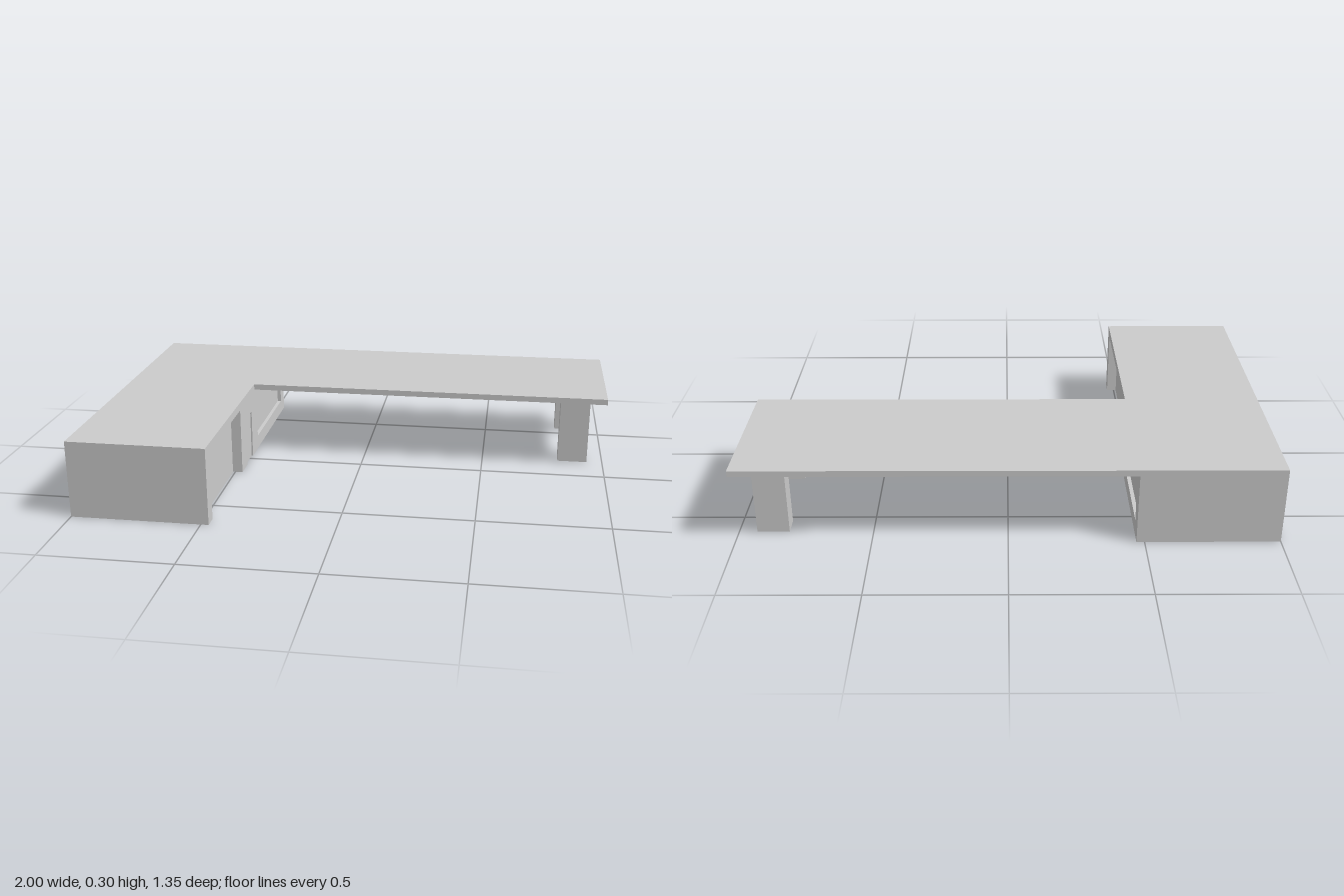
import * as THREE from 'three';

const material = new THREE.MeshStandardMaterial({ color: 0xcccccc, flatShading: true });

const HALF_Z = 0.675, HEIGHT = 0.3, FACE_X = -0.47;

// Openings in the inner face of the cabinet, as z and y ranges with a depth
const openings = [
  { z: [0.155, 0.62], y: [0, 0.268], depth: 0.04 },       // large bay
  { z: [-0.61, -0.13], y: [0.055, 0.222], depth: 0.015 }, // framed panel
  { z: [-0.033, 0.066], y: [0, 0.2], depth: 0.006 },      // narrow door
];

// Box given by its ranges on each axis
function box(name, [x0, x1], [y0, y1], [z0, z1]) {
  const mesh = new THREE.Mesh(new THREE.BoxGeometry(x1 - x0, y1 - y0, z1 - z0), material);
  mesh.position.set((x0 + x1) / 2, (y0 + y1) / 2, (z0 + z1) / 2);
  mesh.name = name;
  return mesh;
}

// Vertical layer of the inner face, cut by the openings that pass through it
function faceLayer(x0, x1, cuts) {
  const shape = new THREE.Shape();
  shape.moveTo(-HALF_Z, 0);
  const notches = cuts.filter((c) => c.y[0] === 0).sort((a, b) => b.z[1] - a.z[1]);
  for (const { z, y } of notches) {
    shape.lineTo(-z[1], 0);
    shape.lineTo(-z[1], y[1]);
    shape.lineTo(-z[0], y[1]);
    shape.lineTo(-z[0], 0);
  }
  shape.lineTo(HALF_Z, 0);
  shape.lineTo(HALF_Z, HEIGHT);
  shape.lineTo(-HALF_Z, HEIGHT);
  shape.closePath();
  for (const { z, y } of cuts.filter((c) => c.y[0] > 0)) {
    const hole = new THREE.Path();
    hole.moveTo(-z[1], y[0]);
    hole.lineTo(-z[1], y[1]);
    hole.lineTo(-z[0], y[1]);
    hole.lineTo(-z[0], y[0]);
    hole.closePath();
    shape.holes.push(hole);
  }
  const mesh = new THREE.Mesh(
    new THREE.ExtrudeGeometry(shape, { depth: x1 - x0, bevelEnabled: false }), material);
  mesh.rotation.y = Math.PI / 2;
  mesh.position.x = x0;
  mesh.name = 'cabinetFace';
  return mesh;
}

export function createModel() {
  const model = new THREE.Group();
  model.name = 'cornerBuilding';

  // Solid wing, with its inner face layered from the deepest opening outwards
  const wing = new THREE.Group();
  wing.name = 'wing';
  wing.add(box('wingBody', [-1, FACE_X - openings[0].depth], [0, HEIGHT], [-HALF_Z, HALF_Z]));
  openings.forEach((opening, i) => {
    const next = openings[i + 1] ? openings[i + 1].depth : 0;
    wing.add(faceLayer(FACE_X - opening.depth, FACE_X - next, openings.slice(0, i + 1)));
  });
  model.add(wing);

  // Thin roof slab reaching out from the wing
  model.add(box('roofSlab', [FACE_X, 1], [0.277, HEIGHT], [-HALF_Z, -0.095]));

  // Pillars under the free end
  model.add(box('frontPillar', [0.815, 0.935], [0.005, 0.277], [-0.217, -0.145]));
  model.add(box('backPillar', [0.81, 0.93], [0.008, 0.277], [-0.612, -0.54]));
  return model;
}
